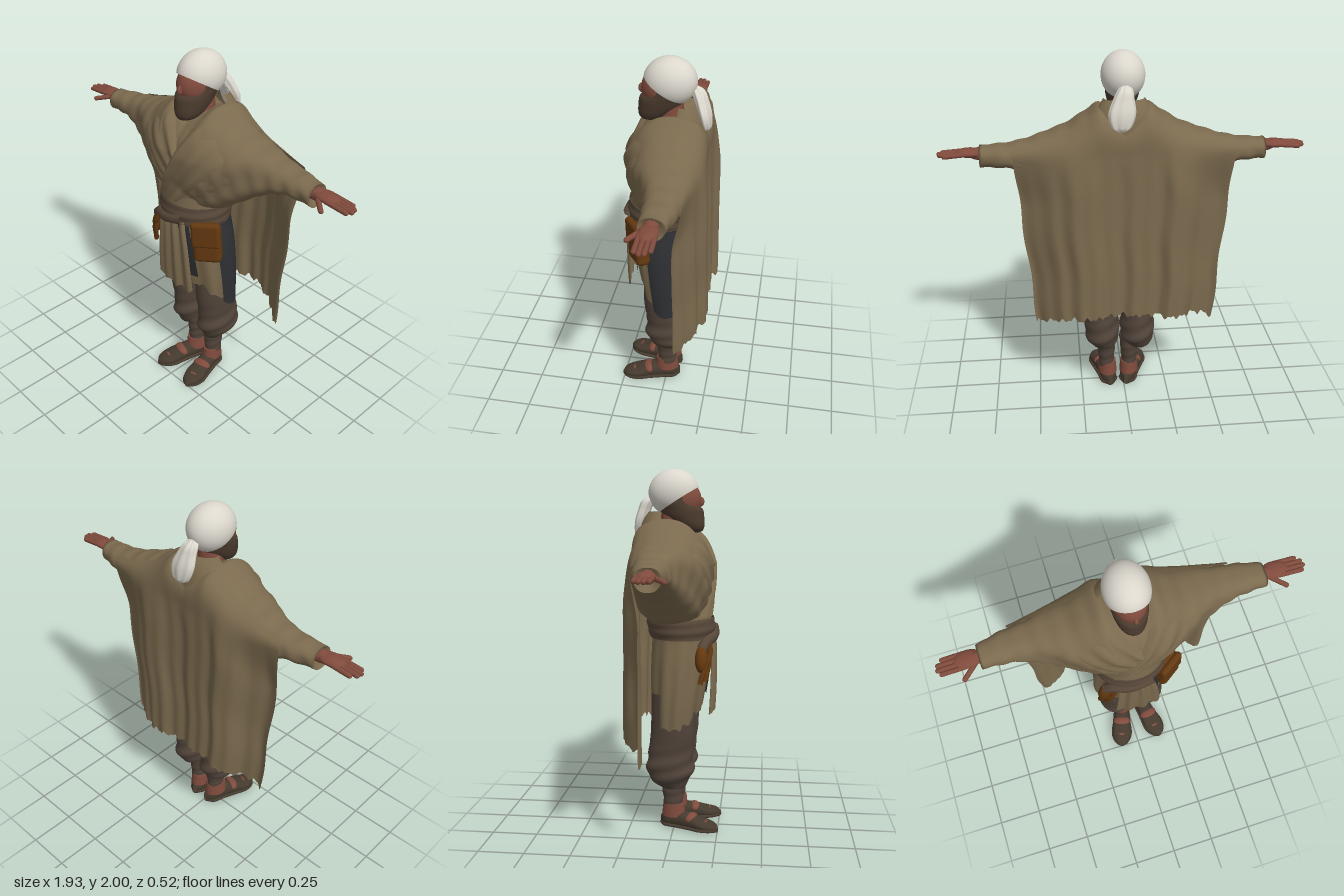
import * as THREE from 'three';
import { RoundedBoxGeometry } from 'three/addons/geometries/RoundedBoxGeometry.js';

const mat = (name, color) => {
  const m = new THREE.MeshStandardMaterial({ color, side: THREE.DoubleSide });
  m.name = name;
  return m;
};
const M = {
  robe: mat('robe cloth', 0x7b6a4e), trousers: mat('trouser cloth', 0x51443a),
  skin: mat('skin', 0x804b3d), wrap: mat('head cloth', 0xdbd7cd), hair: mat('hair', 0x4b3b2e),
  leather: mat('bag leather', 0x643910), dark: mat('dark cloth', 0x2d2f32),
  belt: mat('belt cloth', 0x574739), shoe: mat('shoe leather', 0x453a2e),
};

// Smooth interpolation of a table whose first column is the position
function key(T, t) {
  let i = 0;
  while (i < T.length - 2 && t > T[i + 1][0]) i++;
  const a = T[i], b = T[i + 1], p = T[i - 1] || a, n = T[i + 2] || b, h = b[0] - a[0];
  const s = Math.min(1, Math.max(0, (t - a[0]) / h)), s2 = s * s, s3 = s2 * s;
  return a.map((_, k) => {
    const m0 = (b[k] - p[k]) / (b[0] - p[0]) * h, m1 = (n[k] - a[k]) / (n[0] - a[0]) * h;
    return (2 * s3 - 3 * s2 + 1) * a[k] + (s3 - 2 * s2 + s) * m0 + (3 * s2 - 2 * s3) * b[k] + (s3 - s2) * m1;
  });
}

// Grid surface from fn(u, v), optionally closed around u
function grid(fn, nu, nv, closed) {
  const pos = [], idx = [], w = closed ? nu : nu + 1;
  for (let j = 0; j <= nv; j++) for (let i = 0; i < w; i++) pos.push(...fn(i / nu, j / nv));
  for (let j = 0; j < nv; j++) for (let i = 0; i < nu; i++) {
    const a = j * w + i, b = j * w + (i + 1) % w, c = a + w, d = b + w;
    idx.push(a, c, b, b, c, d);
  }
  const g = new THREE.BufferGeometry();
  g.setAttribute('position', new THREE.Float32BufferAttribute(pos, 3));
  g.setIndex(idx);
  g.computeVertexNormals();
  return g;
}

// Upright loft, rows are [y, centre x, half width, front z, back z]; hem gives the lower edge by angle
function loft(T, { a0 = 0, a1 = Math.PI * 2, hem = () => T[0][0], top = T[T.length - 1][0], off = () => 0, nu = 40, nv = 28 } = {}) {
  return grid((u, v) => {
    const a = a0 + (a1 - a0) * u, h = hem(a), [y, cx, rx, zf, zb] = key(T, h + (top - h) * v), o = off(a, y);
    return [cx + (rx + o) * Math.cos(a), y, (zf + zb) / 2 + ((zf - zb) / 2 + o) * Math.sin(a)];
  }, nu, nv, a1 - a0 > 6.28);
}

// Shawl and sleeves across the body, rows are [|x|, top, bottom, front z, back z]
const YOKE = [
  [0, 1.68, 1.17, 0.2, -0.2], [0.07, 1.71, 1.17, 0.2, -0.2], [0.13, 1.735, 1.17, 0.195, -0.2],
  [0.2, 1.69, 1.19, 0.175, -0.2], [0.3, 1.63, 1.26, 0.135, -0.195], [0.4, 1.595, 1.33, 0.085, -0.18],
  [0.5, 1.565, 1.39, 0.045, -0.16], [0.6, 1.545, 1.42, 0.02, -0.14], [0.75, 1.53, 1.42, 0.01, -0.1],
];
const lean = (x, y) => 0.25 * Math.max(0, y - 1.5) * Math.max(0, 1 - Math.abs(x) / 0.4);
const pw = (c, e) => Math.sign(c) * Math.abs(c) ** e;
function yokePoint(u, v) {
  // the end rows turn inward to close the cuffs
  if (v === 0 || v === 1) return [(v - 0.5) * 1.4, 1.476, -0.045];
  const x = -0.76 + 1.52 * v, a = u * Math.PI * 2, [ax, t, b, zf, zb] = key(YOKE, Math.abs(x));
  const c = pw(Math.cos(a), 0.8), s = -pw(Math.sin(a), 0.8);
  const y = (t + b) / 2 + (t - b) / 2 * c;
  const fan = Math.atan2(y - 1.12, ax + 0.06);
  const fold = (0.008 * Math.sin(fan * 17) * Math.min(1, ax * 8) + 0.003 * Math.sin(ax * 65 + y * 20)) * Math.abs(s);
  return [x, y + 0.003 * Math.sin(ax * 60) * c, (zf + zb) / 2 + ((zf - zb) / 2 + fold) * s - lean(x, y)];
}
// Depth of the shawl at a point, side 1 for the front and -1 for the back
function shawlZ(x, y, side) {
  const [, t, b, zf, zb] = key(YOKE, Math.abs(x)), q = (y - (t + b) / 2) / ((t - b) / 2);
  const r = Math.min(1, side > 0 ? Math.abs(q) : Math.max(0, q));
  return (zf + zb) / 2 + side * (zf - zb) / 2 * (1 - r ** 2.5) ** 0.4 - lean(x, y);
}

// Hanging cape, laid over the back of the shoulders and arms
const smooth = k => k * k * (3 - 2 * k);
function capePoint(u, v) {
  const s = u * 2 - 1, e = Math.abs(s), x = s * (0.58 - 0.085 * v);
  const top = key(YOKE, Math.abs(x))[1] - 0.012;
  const hem = 0.575 - 0.085 * e ** 3 + 0.01 * Math.sin(s * 47) + 0.007 * Math.sin(s * 91);
  const y = top + (hem - top) * v, m = smooth(Math.min(1, v * 3));
  const low = -0.21 - 0.012 * v - 0.03 * Math.exp(-(((e - 0.46) / 0.12) ** 2)) + 0.1 * smooth(Math.max(0, (e - 0.5) / 0.5));
  const fold = (0.013 * Math.sin(s * 14 + 0.5) + 0.007 * Math.sin(s * 33 + v)) * (0.3 + 0.7 * v) * m;
  return [x + 0.006 * Math.sin(v * 14 + s) * m, y, (shawlZ(x, y, -1) - 0.013) * (1 - m) + low * m + fold];
}

// Folded drape over the chest: outer edge a0-a1 and inner edge b0-b1 in front view
function drape(a0, a1, b0, b1, lift) {
  return grid((u, v) => {
    const mix = (p, q, k) => p + (q - p) * k;
    const x = mix(mix(a0[0], a1[0], v), mix(b0[0], b1[0], v), u), y = mix(mix(a0[1], a1[1], v), mix(b0[1], b1[1], v), u);
    const waist = y < 1.34 ? 0.195 * Math.sqrt(Math.max(0, 1 - (x / 0.21) ** 2)) : 0;
    const rise = Math.min(1, u * 12) * (1 - u) * lift + 0.007 * Math.sin(u * 22) * (1 - u * u);
    return [x, y, Math.max(shawlZ(x, y, 1), waist) + rise + 0.002 - 0.014 * u ** 5 - 0.025 * (1 - v) ** 10];
  }, 40, 30, false);
}

const SKIRT = [
  [0.55, 0.02, 0.215, 0.12, -0.12], [0.75, 0.015, 0.222, 0.16, -0.13], [0.95, 0.01, 0.212, 0.19, -0.13],
  [1.12, 0, 0.188, 0.205, -0.125], [1.25, 0, 0.192, 0.197, -0.15], [1.42, 0, 0.2, 0.175, -0.17],
];
const PANTS = [
  [0.25, 0, 0.045, 0.06, -0.06], [0.29, 0.005, 0.075, 0.085, -0.12], [0.35, 0.01, 0.1, 0.115, -0.15],
  [0.45, 0.008, 0.094, 0.11, -0.14], [0.58, 0.005, 0.1, 0.125, -0.125], [0.8, 0, 0.1, 0.12, -0.12],
];
const SHIN = [[0.07, 0, 0.045, 0.055, -0.06], [0.15, 0, 0.045, 0.05, -0.06], [0.24, 0, 0.052, 0.055, -0.07], [0.32, 0, 0.057, 0.06, -0.075]];
const BEARD = [
  [1.665, 0, 0.01, 0.13, 0.1], [1.672, 0, 0.042, 0.148, 0.05], [1.7, 0, 0.068, 0.16, 0],
  [1.75, 0, 0.084, 0.158, -0.06], [1.79, 0, 0.09, 0.15, -0.085], [1.815, 0, 0.093, 0.12, -0.095], [1.9, 0, 0.09, 0.1, -0.09],
];
const COLLAR = [[1.6, 0, 0.2, 0.12, -0.2], [1.69, 0, 0.16, 0.04, -0.185], [1.74, 0, 0.128, 0.01, -0.165], [1.775, 0, 0.105, -0.01, -0.14]];
const TAIL = [
  [1.635, 0.025, 0.01, -0.195, -0.205], [1.65, 0.025, 0.045, -0.18, -0.218], [1.72, 0.02, 0.068, -0.155, -0.218],
  [1.79, 0.01, 0.052, -0.13, -0.197], [1.835, 0, 0.035, -0.11, -0.175], [1.86, 0, 0.008, -0.11, -0.13],
];
// Rows are [distance behind the toe, half width, height]
const FOOT = [[0, 0.006, 0.02], [0.02, 0.036, 0.04], [0.08, 0.058, 0.055], [0.16, 0.052, 0.08], [0.24, 0.046, 0.09], [0.31, 0.043, 0.085], [0.345, 0.012, 0.05]];
const footPart = (wide, max) => grid((u, v) => {
  const [d, w, h] = key(FOOT, v * 0.345), a = u * Math.PI * 2;
  return [w * wide * Math.cos(a), Math.min(h, max) * (0.5 + 0.5 * pw(Math.sin(a), 0.7)), 0.265 - d];
}, 24, 24, true);

export function createModel() {
  const root = new THREE.Group();
  const add = (name, geo, m, p = [0, 0, 0], parent = root) => {
    const mesh = new THREE.Mesh(geo, m);
    mesh.name = name;
    mesh.position.set(...p);
    parent.add(mesh);
    return mesh;
  };
  const ball = (name, m, p, r, parent) => {
    const b = add(name, new THREE.SphereGeometry(1, 28, 20), m, p, parent);
    b.scale.set(...r);
    return b;
  };
  const tube = (name, m, pts, r) => add(name, new THREE.TubeGeometry(new THREE.CatmullRomCurve3(pts.map(p => new THREE.Vector3(...p))), 24, r, 8), m);

  // Head
  ball('face', M.skin, [0, 1.838, 0.035], [0.086, 0.105, 0.108]);
  add('neck', new THREE.CylinderGeometry(0.06, 0.075, 0.2, 24), M.skin, [0, 1.69, -0.01]);
  add('beard', loft(BEARD), M.hair);
  ball('nose', M.skin, [0, 1.828, 0.138], [0.013, 0.026, 0.021]);
  const cap = new THREE.SphereGeometry(1, 40, 24, 0, Math.PI * 2, 0, Math.PI * 0.62);
  cap.rotateX(-0.6);
  cap.scale(0.114, 0.125, 0.137);
  add('headWrap', cap, M.wrap, [0, 1.875, -0.005]);
  add('headWrapTail', loft(TAIL, { off: a => 0.003 * Math.sin(a * 7) }), M.wrap);

  // Shawl, sleeves and cape
  add('shawlAndSleeves', grid(yokePoint, 64, 120, true), M.robe);
  add('raisedCollar', loft(COLLAR, { a0: Math.PI * 0.93, a1: Math.PI * 2.07 }), M.robe);
  add('cape', grid(capePoint, 120, 60, false), M.robe);
  add('rightDrape', drape([-0.09, 1.69], [0.04, 1.5], [-0.42, 1.5], [-0.1, 1.24], 0.016), M.robe);
  add('leftDrape', drape([0.1, 1.69], [-0.14, 1.22], [0.44, 1.5], [0.08, 1.22], 0.024), M.robe);

  // Tunic, with dark cloth showing at the openings
  const ripple = (a, y) => 0.006 * Math.sin(a * 11) * Math.max(0, Math.min(1, (1.2 - y) * 3));
  add('tunic', loft(SKIRT, {
    hem: a => 0.61 + 0.1 * Math.max(0, Math.sin(a)) ** 4 + 0.01 * Math.sin(a * 13), off: ripple, nu: 72,
  }), M.robe);
  add('darkSidePanel', loft(SKIRT, { a0: -0.85, a1: 0.33, top: 1.1, hem: a => 0.55 + 0.2 * Math.abs(a + 0.26) ** 3, off: () => 0.013 }), M.dark);
  add('darkFrontSlit', loft(SKIRT, { a0: 1.02, a1: 1.35, hem: () => 0.76, top: 1.1, off: () => 0.013, nu: 8 }), M.dark);
  add('frontFlap', loft(SKIRT, {
    a0: 1.13, a1: 2.06, hem: a => 0.685 + 0.012 * Math.sin(a * 19), top: 1.12,
    off: (a, y) => 0.014 + (1.12 - y) * 0.13 + 0.008 * Math.sin(a * 22),
  }), M.robe);
  add('belt', loft(SKIRT, { hem: () => 1.1, top: 1.21, off: (a, y) => 0.012 + 0.008 * Math.cos((y - 1.155) * 28) + 0.002 * Math.sin(y * 120 + a) }), M.belt);
  tube('beltEnd', M.belt, [[0.08, 1.14, 0.21], [-0.04, 1.11, 0.215], [-0.13, 1.085, 0.18], [-0.17, 1.05, 0.16]], 0.03);

  // Shoulder bag at the left hip
  const bag = new THREE.Group();
  bag.name = 'bag';
  bag.position.set(0.19, 1.02, 0.135);
  bag.rotation.set(0, 0.6, 0.06);
  root.add(bag);
  add('bagBody', new RoundedBoxGeometry(0.155, 0.23, 0.08, 4, 0.03), M.leather, [0, -0.005, 0], bag);
  add('bagFlap', new RoundedBoxGeometry(0.159, 0.15, 0.04, 4, 0.019), M.leather, [0, 0.055, 0.027], bag);

  // Small pouch with hanging thongs at the right hip
  const pouch = ball('pouch', M.leather, [-0.165, 1.0, 0.16], [0.042, 0.075, 0.035]);
  pouch.rotation.z = -0.35;
  tube('pouchThong', M.leather, [[-0.12, 1.08, 0.2], [-0.14, 1.03, 0.205], [-0.19, 0.94, 0.175], [-0.205, 0.87, 0.155]], 0.014);
  tube('pouchThong', M.leather, [[-0.14, 1.07, 0.195], [-0.15, 0.98, 0.2], [-0.175, 0.88, 0.18]], 0.013);

  for (const s of [-1, 1]) {
    // Legs and sandals
    const leg = new THREE.Group();
    leg.name = s > 0 ? 'leftLeg' : 'rightLeg';
    leg.position.x = 0.015;
    root.add(leg);
    const bulge = (a, y) => 0.006 * Math.sin(y * 65 + a * 2) * Math.max(0, 1 - Math.abs(y - 0.36) * 6);
    add('trouserLeg', loft(PANTS, { off: bulge, nv: 44 }), M.trousers, [s > 0 ? 0.1 : -0.105, 0, 0], leg);
    add('shinWrap', loft(SHIN, { off: (a, y) => 0.0015 * Math.sin(y * 110 + a) }), M.trousers, [s > 0 ? 0.085 : -0.05, 0, 0], leg);
    const foot = new THREE.Group();
    foot.name = 'foot';
    foot.position.set(s > 0 ? 0.08 : -0.05, 0, 0);
    foot.rotation.y = s > 0 ? 0.2 : -0.3;
    leg.add(foot);
    add('sole', footPart(1.14, 0.026), M.shoe, [0, 0, 0], foot);
    add('shoe', footPart(1, 0.2), M.shoe, [0, 0.004, 0], foot);
    add('ankle', new THREE.CylinderGeometry(0.049, 0.055, 0.075, 28), M.skin, [0, 0.103, -0.003], foot).scale.z = 1.25;
    ball('instep', M.skin, [0, 0.06, 0.105], [0.054, 0.028, 0.036], foot);
    ball('toes', M.skin, [0, 0.034, 0.19], [0.049, 0.024, 0.025], foot);

    // Hands
    const hand = new THREE.Group();
    hand.name = s > 0 ? 'leftHand' : 'rightHand';
    root.add(hand);
    ball('palm', M.skin, [s * 0.8, 1.497, -0.045], [0.075, 0.023, 0.048], hand);
    ball('wrist', M.skin, [s * 0.73, 1.49, -0.045], [0.08, 0.035, 0.037], hand);
    const finger = (name, a, b, r) => {
      const A = new THREE.Vector3(...a), B = new THREE.Vector3(...b), d = B.clone().sub(A);
      const f = add(name, new THREE.CapsuleGeometry(r, d.length(), 4, 10), M.skin, A.clone().add(B).multiplyScalar(0.5).toArray(), hand);
      f.quaternion.setFromUnitVectors(new THREE.Vector3(0, 1, 0), d.normalize());
    };
    [0.925, 0.95, 0.955, 0.94].forEach((x, i) => {
      const z = -0.08 + i * 0.024;
      finger('finger', [s * 0.82, 1.497, z], [s * x, 1.488, z], 0.0125);
    });
    finger('thumb', [s * 0.77, 1.49, -0.015], [s * 0.84, 1.475, 0.045], 0.013);
  }
  return root;
}
